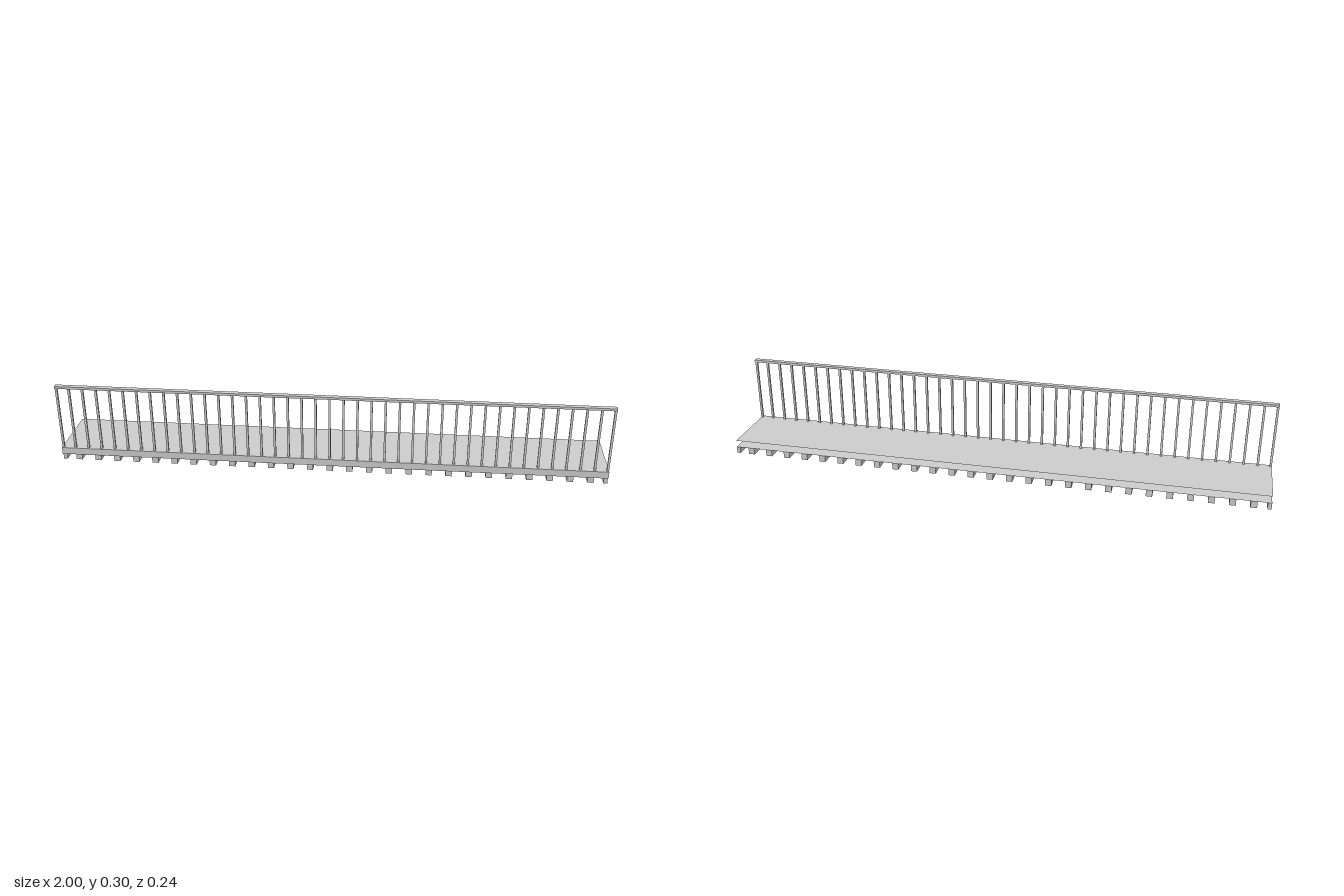
import * as THREE from 'three';

const grey = new THREE.MeshStandardMaterial({ color: 0xcccccc, flatShading: true, side: THREE.DoubleSide });

export function createModel() {
  const model = new THREE.Group();
  model.name = 'railedWalkway';

  const add = (parent, name, geometry, x, y, z) => {
    const mesh = new THREE.Mesh(geometry, grey);
    mesh.name = name;
    mesh.position.set(x, y, z);
    parent.add(mesh);
    return mesh;
  };
  const subgroup = (name) => {
    const g = new THREE.Group();
    g.name = name;
    model.add(g);
    return g;
  };

  const halfDepth = 0.121;
  const deckTop = 0.051;
  const deckBottom = 0.025;

  // Deck: two thin sheets joined by a front fascia, open at the ends and back
  const deck = subgroup('deck');
  const sheet = new THREE.PlaneGeometry(2, 2 * halfDepth);
  add(deck, 'deckTop', sheet, 0, deckTop, 0).rotation.x = -Math.PI / 2;
  add(deck, 'deckUnderside', sheet, 0, deckBottom, 0).rotation.x = Math.PI / 2;
  add(deck, 'frontFascia', new THREE.PlaneGeometry(2, deckTop - deckBottom),
    0, (deckTop + deckBottom) / 2, halfDepth);

  // Cross joists under the deck, with narrow ones at both ends
  const joists = subgroup('joists');
  const back = -halfDepth, front = 0.1125;
  const addJoist = (x, width) => add(joists, 'joist',
    new THREE.BoxGeometry(width, deckBottom, front - back), x, deckBottom / 2, (front + back) / 2);
  const count = 27;
  for (let i = 0; i < count; i++) addJoist(-0.94 + (1.88 * i) / (count - 1), 0.023);
  for (const side of [-1, 1]) addJoist(side * 0.993, 0.014);

  // Railing along the front edge
  const railing = subgroup('railing');
  const railZ = 0.1095;
  const railBottom = 0.29, railTop = 0.299;
  for (let i = 0; i <= 40; i++) {
    const x = THREE.MathUtils.clamp(-1 + i * 0.05, -0.996, 0.996);
    add(railing, 'post', new THREE.BoxGeometry(0.008, railBottom - deckTop, 0.008),
      x, (railBottom + deckTop) / 2, railZ);
  }

  // Hollow handrail with open ends (the two end faces come first in the index)
  const rail = new THREE.BoxGeometry(2, railTop - railBottom, 0.018);
  rail.setIndex(Array.from(rail.index.array).slice(12));
  rail.clearGroups();
  add(railing, 'handrail', rail, 0, (railTop + railBottom) / 2, railZ);

  return model;
}
